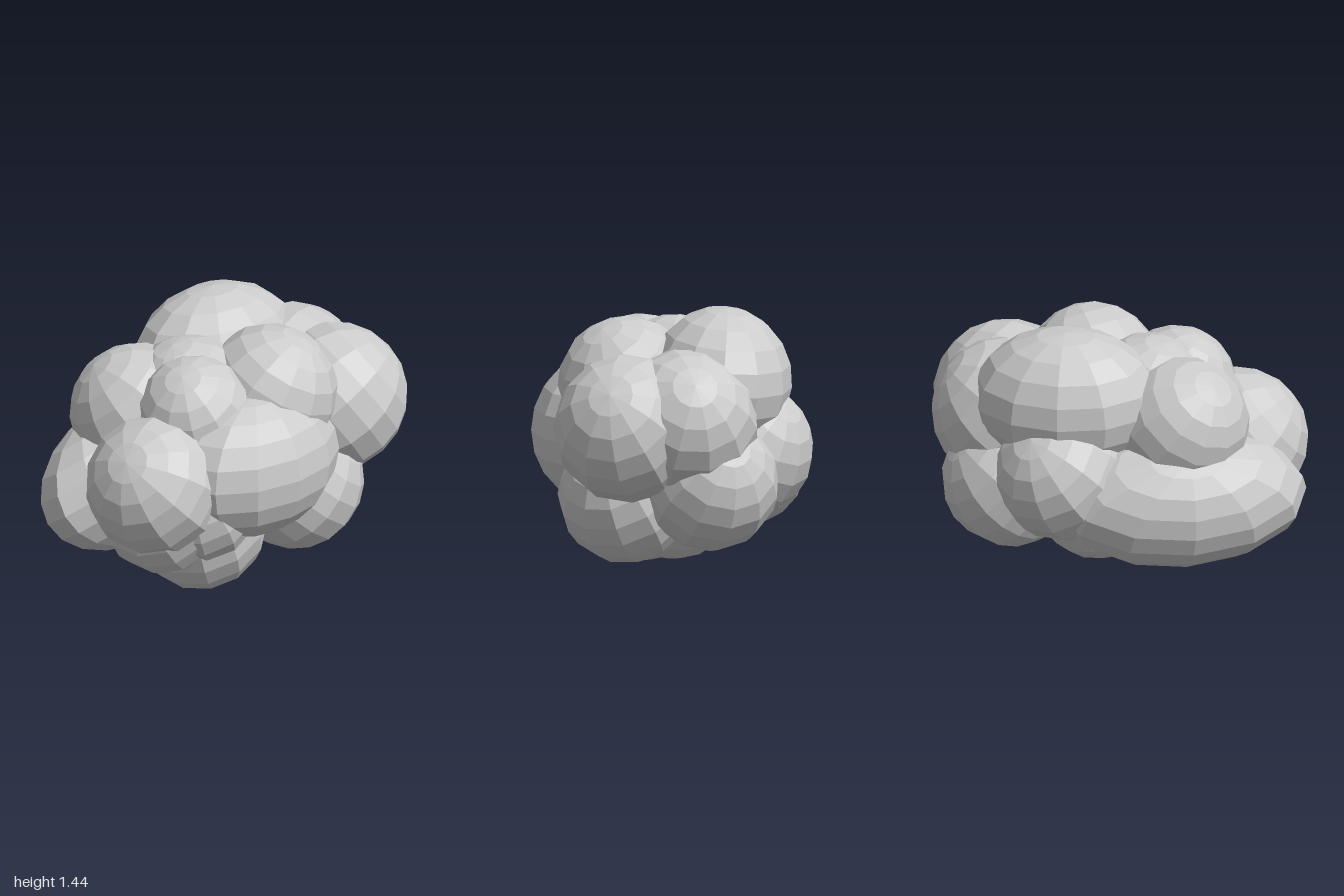
import * as THREE from 'three';

export function createModel() {
  const cluster = new THREE.Group();
  cluster.name = 'lobeCluster';
  const material = new THREE.MeshStandardMaterial({ color: 0xcccccc, flatShading: true });
  const ball = new THREE.SphereGeometry(1, 12, 10);
  const up = new THREE.Vector3(0, 1, 0);

  function addLobe(name, x, y, z) {
    const lobe = new THREE.Mesh(ball, material);
    lobe.name = name;
    lobe.position.set(x, y, z);
    cluster.add(lobe);
    return lobe;
  }

  // Round lobe whose pole leans up and away from the middle of the cluster
  function roundLobe(name, x, y, z, radius) {
    const lobe = addLobe(name, x, y, z);
    lobe.scale.setScalar(radius);
    lobe.quaternion.setFromUnitVectors(up, new THREE.Vector3(x, 0.5, z).normalize());
  }

  // Lobe stretched from front to back, rolled about its length and swung sideways by yaw
  function longLobe(name, x, y, z, width, height, length, yaw, roll) {
    const lobe = addLobe(name, x, y, z);
    lobe.scale.set(width, height, length);
    lobe.rotation.set(0, yaw, roll);
  }

  // Stretched lobes on both flanks and the crown
  longLobe('longRightLobe', -0.44, 0.535, 0.23, 0.375, 0.365, 0.68, 0, 0.6);
  longLobe('longLeftLobe', 0.32, 0.73, 0.19, 0.35, 0.395, 0.53, -0.32, 0);
  longLobe('crownLobe', -0.18, 1.05, -0.34, 0.385, 0.395, 0.51, -0.35, 0.1);

  // Front
  roundLobe('frontLobe', -0.05, 0.69, 0.62, 0.38);
  roundLobe('lowerFrontLobe', -0.06, 0.505, 0.5, 0.35);
  roundLobe('innerFrontLobe', 0.1, 0.54, 0.41, 0.325);

  // Underside
  roundLobe('bottomLobe', 0.03, 0.36, 0.27, 0.365);
  roundLobe('bottomMiddleLobe', 0, 0.42, -0.13, 0.355);
  roundLobe('lowerLeftLobe', 0.33, 0.45, -0.27, 0.365);

  // Back
  roundLobe('rearLeftLobe', 0.42, 0.86, -0.53, 0.4);
  roundLobe('rearLobe', 0.12, 0.89, -0.61, 0.395);
  roundLobe('lowerRearLobe', -0.02, 0.555, -0.61, 0.37);
  roundLobe('rearRightLobe', -0.3, 0.68, -0.39, 0.37);

  // Top
  roundLobe('upperLeftLobe', 0.26, 1.015, -0.1, 0.37);
  roundLobe('upperRightLobe', -0.35, 0.92, 0.25, 0.365);
  roundLobe('upperMiddleLobe', -0.1, 0.98, 0.12, 0.355);
  roundLobe('upperFrontLobe', 0.02, 0.99, 0.3, 0.325);

  return cluster;
}
